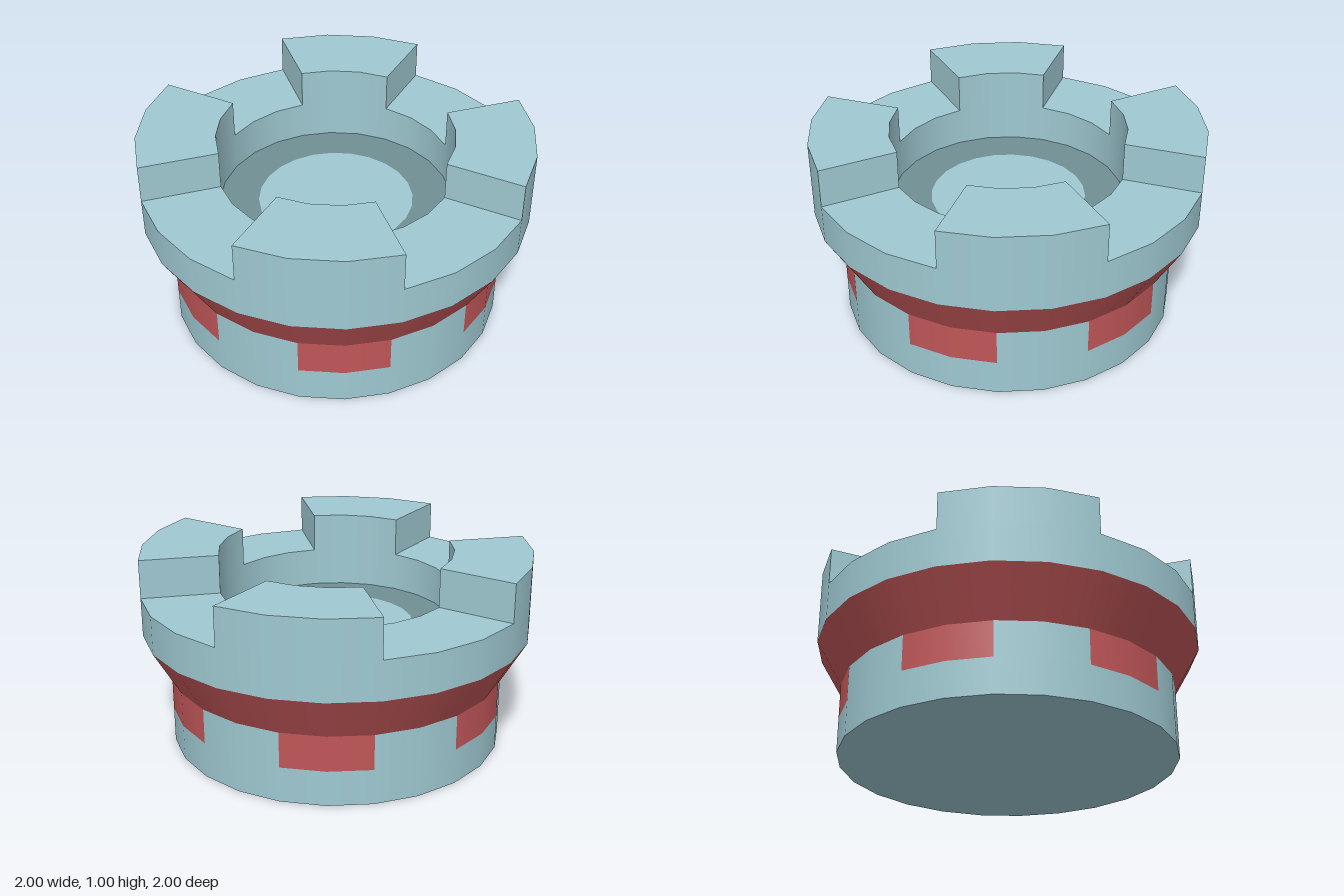
import * as THREE from 'three';
import { mergeGeometries } from 'three/addons/utils/BufferGeometryUtils.js';

const STEP = Math.PI / 12; // one side of the 24-sided tower
const stone = new THREE.MeshStandardMaterial({ color: 0x9fc9d2 });
const red = new THREE.MeshStandardMaterial({ color: 0xc05658 });
const dark = new THREE.MeshStandardMaterial({ color: 0x708f94 });

// Revolved strip between two profile points: upward faces out, inward faces up, downward faces in
function band(r0, y0, r1, y1, first = 0, count = 24) {
  const points = [new THREE.Vector2(r0, y0), new THREE.Vector2(r1, y1)];
  const g = new THREE.LatheGeometry(points, count, first * STEP, count * STEP);
  g.normalizeNormals();
  return g;
}

// Upright end face of a battlement at a given side index
function endFace(index, isEnd) {
  const g = new THREE.PlaneGeometry(0.4, 0.2);
  if (isEnd) g.rotateY(Math.PI);
  return g.translate(0.8, 0.9, 0).rotateY(index * STEP - Math.PI / 2);
}

export function createModel() {
  const model = new THREE.Group();
  const add = (name, material, parts) => {
    const mesh = new THREE.Mesh(mergeGeometries(parts), material);
    mesh.name = name;
    model.add(mesh);
  };

  // Base drum with a closed underside
  add('base', stone, [band(0, 0, 0.866, 0), band(0.866, 0, 0.866, 0.183)]);

  // Alternating red tabs and stone panels under the collar
  for (let i = 0; i < 6; i++) {
    add('redTab', red, [band(0.866, 0.183, 0.866, 0.366, i * 4 - 2, 2)]);
    add('stonePanel', stone, [band(0.866, 0.183, 0.866, 0.366, i * 4, 2)]);
  }

  // Flared collar
  add('collar', red, [band(0.866, 0.366, 1, 0.6)]);

  // Upper wall, outside and inside
  add('upperWall', stone, [band(1, 0.6, 1, 0.8), band(0.6, 0.8, 0.6, 0.6)]);

  // Floor of the well: dark border round a light disc
  add('floorBorder', dark, [band(0.6, 0.6, 0.4, 0.6)]);
  add('floorDisc', stone, [band(0.4, 0.6, 0, 0.6)]);

  // Four battlements with gaps of equal width
  for (let i = 0; i < 4; i++) {
    const s = i * 6 - 3;
    add('battlement', stone, [
      band(1, 0.8, 1, 1, s, 3),
      band(1, 1, 0.6, 1, s, 3),
      band(0.6, 1, 0.6, 0.8, s, 3),
      endFace(s, false),
      endFace(s + 3, true),
    ]);
    add('gapSill', stone, [band(1, 0.8, 0.6, 0.8, s + 3, 3)]);
  }

  return model;
}
